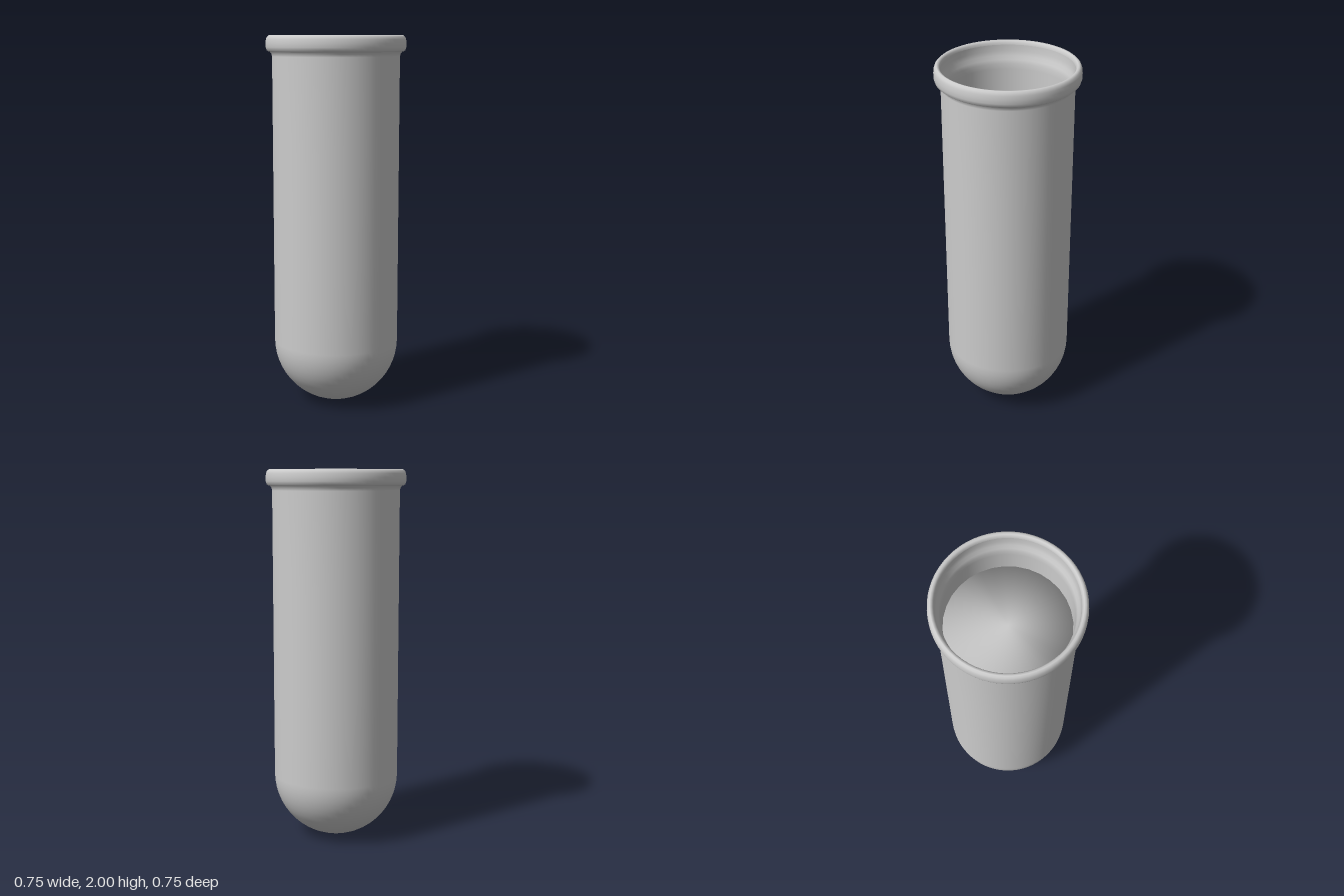
import * as THREE from 'three';

const RADIUS = 0.34;      // outside of the wall
const INNER = 0.319;      // inside of the wall
const FILL = 0.315;       // radius of the contents
const FILL_TOP = 1.73;

// Quarter arc from the axis up to the straight wall
function bowl(radius, centreY, steps = 14) {
  const points = [];
  for (let i = 0; i <= steps; i++) {
    const a = (i / steps) * Math.PI / 2;
    points.push(new THREE.Vector2(radius * Math.sin(a), centreY - radius * Math.cos(a)));
  }
  return points;
}

const toPoints = (pairs) => pairs.map(([r, y]) => new THREE.Vector2(r, y));

export function createModel() {
  const group = new THREE.Group();
  group.name = 'testTube';
  const glass = new THREE.MeshStandardMaterial({ color: 0xcccccc });
  glass.name = 'pale grey';

  function addLathe(name, profile, segments) {
    const mesh = new THREE.Mesh(new THREE.LatheGeometry(profile, segments), glass);
    mesh.name = name;
    group.add(mesh);
  }

  // Round-bottomed outside wall, flaring slightly under the lip
  addLathe('outerWall', [
    ...bowl(RADIUS, RADIUS),
    ...toPoints([[RADIUS, 0.8], [RADIUS, 1.4], [RADIUS, 1.89], [0.344, 1.905], [0.352, 1.915]]),
  ], 64);

  // Rolled lip, from its underside over the top to the mouth
  addLathe('lip', toPoints([
    [0.344, 1.914], [0.359, 1.915], [0.368, 1.922], [0.373, 1.938], [0.3735, 1.958],
    [0.372, 1.978], [0.367, 1.992], [0.358, 2.0], [0.349, 1.998], [0.342, 1.99], [0.34, 1.978],
  ]), 64);

  // Inside wall, from the mouth over a soft shoulder down to the round bottom
  addLathe('innerWall', [
    ...toPoints([[0.34, 1.978], [0.339, 1.945], [0.334, 1.92], [0.325, 1.9], [0.32, 1.88], [INNER, 1.85], [INNER, 1.2]]),
    ...bowl(INNER, RADIUS).reverse(),
  ], 64);

  // Contents with a level, softly shaded surface
  addLathe('contents', [
    ...bowl(FILL, RADIUS),
    ...toPoints([[FILL, FILL_TOP], [0, FILL_TOP]]),
  ], 32);

  return group;
}
